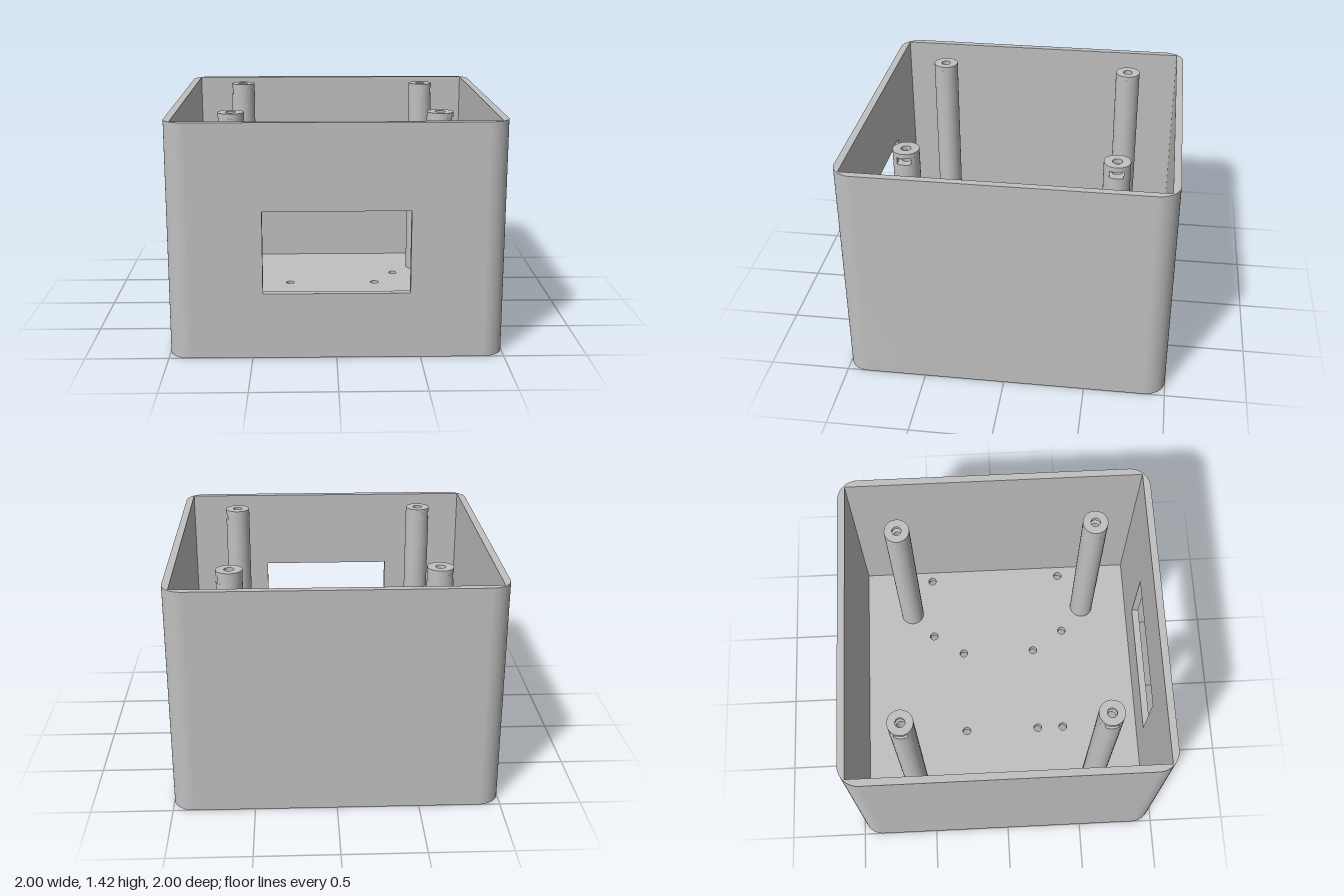
import * as THREE from 'three';
import { toCreasedNormals } from 'three/addons/utils/BufferGeometryUtils.js';

const HEIGHT = 1.42;      // overall height
const FLOOR = 0.053;      // floor thickness
const RADIUS = 0.13;      // outer corner radius
const C = 1 - RADIUS;     // corner arc centre
const INNER = 0.955;      // half width of the square cavity
const POST_R = 0.08;
const BORE_R = 0.03;

const grey = new THREE.MeshStandardMaterial({ color: 0xc0c0c0 });
grey.name = 'grey plastic';

// Extrude a plan outline (shape y = model z) upwards from y0 to y1
function extrudeUp(shape, y0, y1) {
  const geo = new THREE.ExtrudeGeometry(shape, { depth: y1 - y0, bevelEnabled: false, curveSegments: 16 });
  geo.rotateX(Math.PI / 2).translate(0, y1, 0);
  return toCreasedNormals(geo, 0.5);
}

function addMesh(parent, name, geometry) {
  const mesh = new THREE.Mesh(geometry, grey);
  mesh.name = name;
  parent.add(mesh);
  return mesh;
}

// Rounded outline running from the front right corner round the back to the front left
function roundedOutline() {
  const q = Math.PI / 2;
  const s = new THREE.Shape();
  s.moveTo(C, 1);
  s.absarc(C, C, RADIUS, q, 0, true);
  s.absarc(C, -C, RADIUS, 0, -q, true);
  s.absarc(-C, -C, RADIUS, -q, -2 * q, true);
  s.absarc(-C, C, RADIUS, 2 * q, q, true);
  return s;
}

function circlePath(x, z, r) {
  return new THREE.Path().absarc(x, z, r, 0, Math.PI * 2, false);
}

// Screw post with a blind bore and a nut slot opening towards +x
function createPost() {
  const post = new THREE.Group();
  const boreBottom = HEIGHT - 0.3;
  const slotBottom = HEIGHT - 0.072;
  const slotTop = HEIGHT - 0.03;
  const slotHalf = 0.042;

  const solid = new THREE.Shape().absarc(0, 0, POST_R, 0, Math.PI * 2, false);
  const ring = solid.clone();
  ring.holes.push(circlePath(0, 0, BORE_R));

  const a = Math.asin(slotHalf / POST_R);
  const slotted = new THREE.Shape();
  slotted.absarc(0, 0, POST_R, a, Math.PI * 2 - a, false);
  slotted.lineTo(-0.045, -slotHalf);
  slotted.lineTo(-0.045, slotHalf);

  addMesh(post, 'postShaft', extrudeUp(solid, FLOOR, boreBottom));
  addMesh(post, 'postBore', extrudeUp(ring, boreBottom, slotBottom));
  addMesh(post, 'postNutSlot', extrudeUp(slotted, slotBottom, slotTop));
  addMesh(post, 'postTop', extrudeUp(ring, slotTop, HEIGHT));
  return post;
}

export function createModel() {
  const model = new THREE.Group();
  model.name = 'enclosure';

  // Floor with mounting holes
  const floor = roundedOutline();
  const holes = [
    [-0.3, -0.26], [0.295, -0.26], [-0.3, 0.25], [0.295, 0.25],
    [-0.3, 0.43], [-0.3, 0.81],
    [0.44, -0.475], [0.885, -0.475], [0.44, 0.47], [0.885, 0.47],
  ];
  for (const [x, z] of holes) floor.holes.push(circlePath(x, z, 0.028));
  addMesh(model, 'floor', extrudeUp(floor, 0, FLOOR));

  // Side and back walls: round outside, square inside
  const walls = roundedOutline();
  const inside = [[-C, INNER], [-INNER, INNER], [-INNER, -INNER], [INNER, -INNER], [INNER, INNER], [C, INNER]];
  for (const [x, z] of inside) walls.lineTo(x, z);
  addMesh(model, 'sideAndBackWalls', extrudeUp(walls, FLOOR, HEIGHT));

  // Front wall with a rectangular window
  const rect = (P, x, y0, y1) => new P([[-x, y0], [x, y0], [x, y1], [-x, y1]].map(([u, v]) => new THREE.Vector2(u, v)));
  const front = rect(THREE.Shape, C, FLOOR, HEIGHT);
  front.holes.push(rect(THREE.Path, 0.435, 0.4, 0.9));
  const frontGeo = new THREE.ExtrudeGeometry(front, { depth: 1 - INNER, bevelEnabled: false });
  addMesh(model, 'frontWall', frontGeo.translate(0, 0, INNER));

  // Four screw posts, slots facing the side walls
  for (const sx of [-1, 1]) {
    for (const sz of [-1, 1]) {
      const post = createPost();
      post.name = `${sz > 0 ? 'front' : 'back'}${sx > 0 ? 'Left' : 'Right'}Post`;
      post.position.set(sx * 0.628, 0, sz * 0.628);
      if (sx < 0) post.rotation.y = Math.PI;
      model.add(post);
    }
  }
  return model;
}
